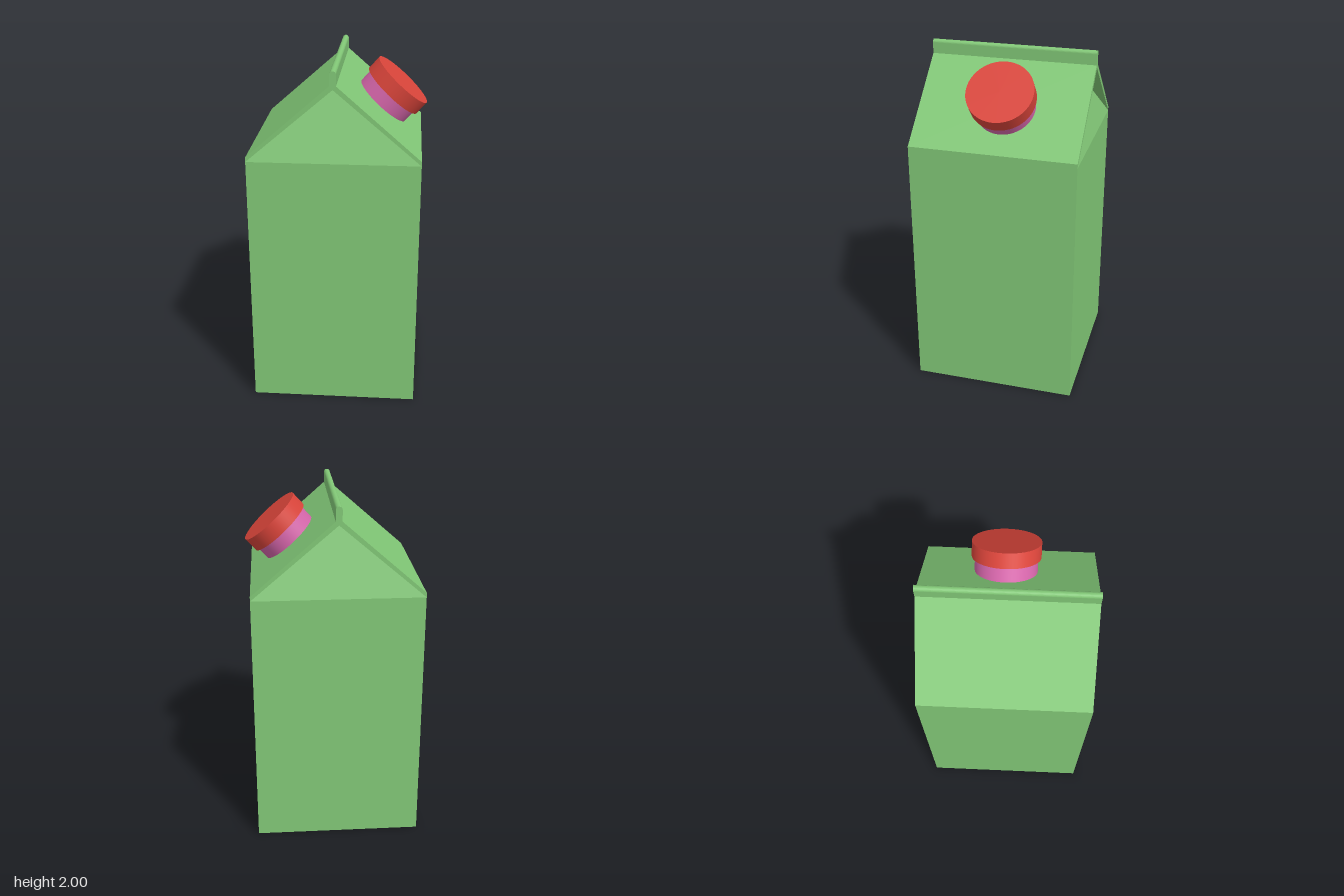
import * as THREE from 'three';
import { ConvexGeometry } from 'three/addons/geometries/ConvexGeometry.js';

const CENTRE_X = -0.016;
const HALF = 0.479;      // half width and half depth of the carton
const EAVE = 1.49;       // height where walls meet the gables
const RIDGE = 1.9;       // underside of the roof peak
const GABLE_INSET = 0.13;

const green = new THREE.MeshStandardMaterial({ color: 0x81c776 });
const red = new THREE.MeshStandardMaterial({ color: 0xd9443a });
const pink = new THREE.MeshStandardMaterial({ color: 0xd465a9 });

function addMesh(parent, name, geometry, material) {
  const mesh = new THREE.Mesh(geometry, material);
  mesh.name = name;
  parent.add(mesh);
  return mesh;
}

// Square walls closed by two gables that lean inwards
function bodyGeometry() {
  const points = [];
  for (const sz of [-1, 1]) {
    for (const sx of [-1, 1]) {
      for (const y of [0, EAVE]) points.push(new THREE.Vector3(sx * HALF, y, sz * HALF));
    }
    points.push(new THREE.Vector3(0, RIDGE, sz * (HALF - GABLE_INSET)));
  }
  return new ConvexGeometry(points);
}

// Thin folded roof with the upright, round-topped sealing fin
function roofGeometry() {
  const fin = 0.018;
  const shape = new THREE.Shape();
  shape.moveTo(-HALF, EAVE);
  shape.lineTo(0, RIDGE);
  shape.lineTo(HALF, EAVE);
  shape.lineTo(HALF, EAVE + 0.025);
  shape.lineTo(fin, 1.92);
  shape.lineTo(fin, 2 - fin);
  shape.absarc(0, 2 - fin, fin, 0, Math.PI, false);
  shape.lineTo(-fin, 1.92);
  shape.lineTo(-HALF, EAVE + 0.025);
  shape.closePath();
  const geometry = new THREE.ExtrudeGeometry(shape, {
    depth: HALF * 2, bevelEnabled: false, curveSegments: 12,
  });
  return geometry.translate(0, 0, -HALF);
}

export function createModel() {
  const model = new THREE.Group();
  model.name = 'drinkCarton';

  const carton = new THREE.Group();
  carton.name = 'carton';
  carton.position.x = CENTRE_X;
  addMesh(carton, 'body', bodyGeometry(), green);
  addMesh(carton, 'roof', roofGeometry(), green);
  model.add(carton);

  // Spout and screw cap, standing square to the sloping roof
  const spout = new THREE.Group();
  spout.name = 'spout';
  spout.position.set(0.237, 1.715, -0.02);
  spout.rotation.z = -THREE.MathUtils.degToRad(42);
  addMesh(spout, 'neck', new THREE.CylinderGeometry(0.172, 0.172, 0.1, 64), pink).position.y = 0.04;
  addMesh(spout, 'cap', new THREE.CylinderGeometry(0.189, 0.189, 0.087, 64), red).position.y = 0.1235;
  model.add(spout);

  return model;
}
